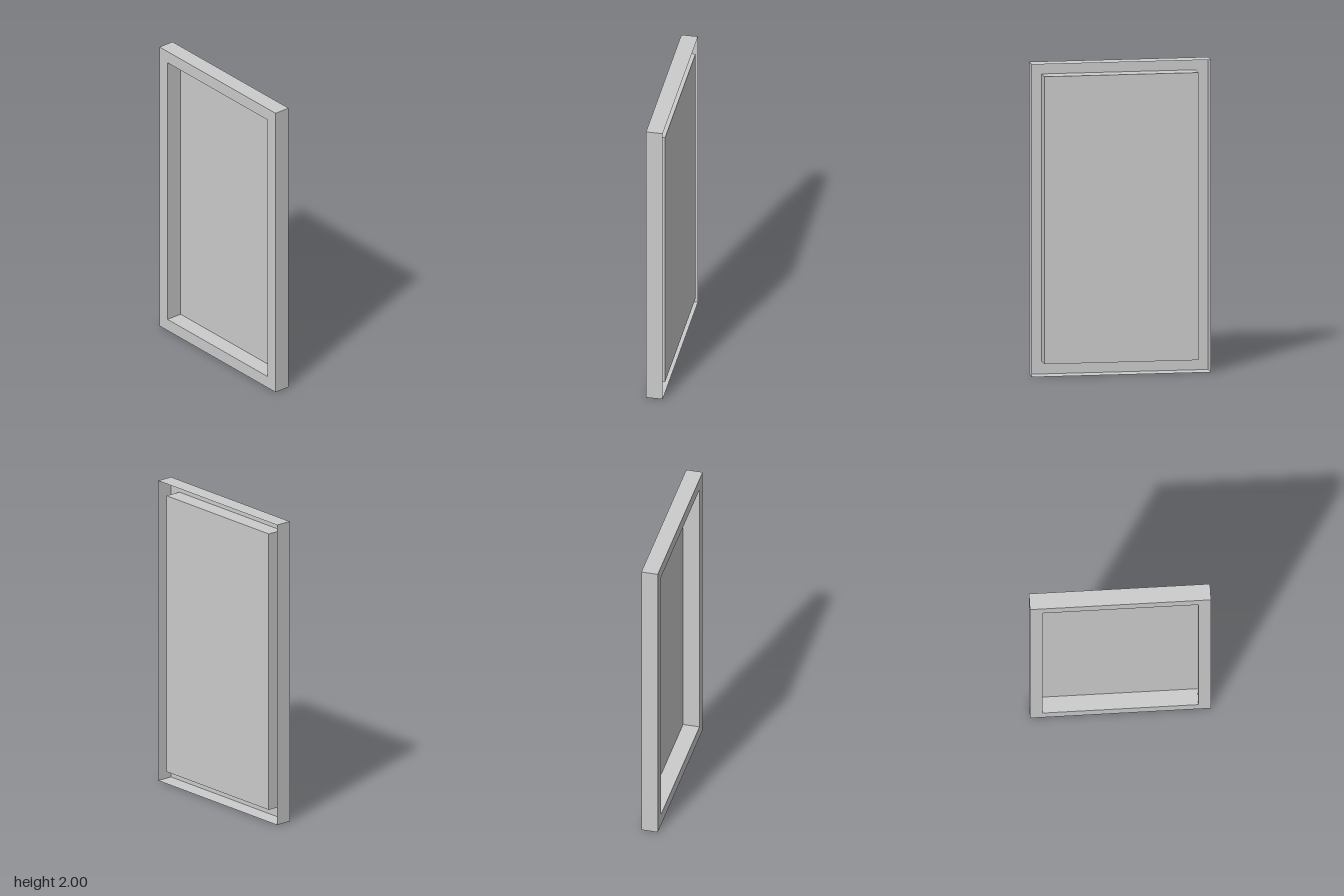
import * as THREE from 'three';

const W = 1.144, H = 2, D = 0.107, BORDER = 0.08;
const material = new THREE.MeshStandardMaterial({ color: 0xcccccc, side: THREE.DoubleSide });

// Four thin walls standing around a w x h rectangle, open at front and back
function wallLoop(name, w, h) {
  const group = new THREE.Group();
  group.name = name;
  for (const s of [-1, 1]) {
    const side = new THREE.Mesh(new THREE.PlaneGeometry(D, h).rotateY(s * Math.PI / 2), material);
    side.position.x = s * w / 2;
    side.name = s > 0 ? 'leftWall' : 'rightWall';
    const cap = new THREE.Mesh(new THREE.PlaneGeometry(w, D).rotateX(-s * Math.PI / 2), material);
    cap.position.y = s * h / 2;
    cap.name = s > 0 ? 'topWall' : 'bottomWall';
    group.add(side, cap);
  }
  return group;
}

// Rectangle corners, centred on the origin
function rectangle(w, h) {
  return [[-1, -1], [1, -1], [1, 1], [-1, 1]].map(([x, y]) => new THREE.Vector2(x * w / 2, y * h / 2));
}

export function createModel() {
  const model = new THREE.Group();
  model.name = 'recessedFrame';
  const innerW = W - 2 * BORDER, innerH = H - 2 * BORDER;

  // Flat border around the front opening
  const shape = new THREE.Shape(rectangle(W, H));
  shape.holes.push(new THREE.Path(rectangle(innerW, innerH).reverse()));
  const border = new THREE.Mesh(new THREE.ShapeGeometry(shape), material);
  border.name = 'frontBorder';
  border.position.z = D / 2;

  // Panel at the bottom of the recess, level with the back edge
  const panel = new THREE.Mesh(new THREE.PlaneGeometry(innerW, innerH), material);
  panel.name = 'backPanel';
  panel.position.z = -D / 2;

  // Outer rim and recess walls, with an open channel between them at the back
  model.add(border, panel, wallLoop('outerRim', W, H), wallLoop('recessWalls', innerW, innerH));
  for (const part of model.children) part.position.y = H / 2;
  return model;
}
